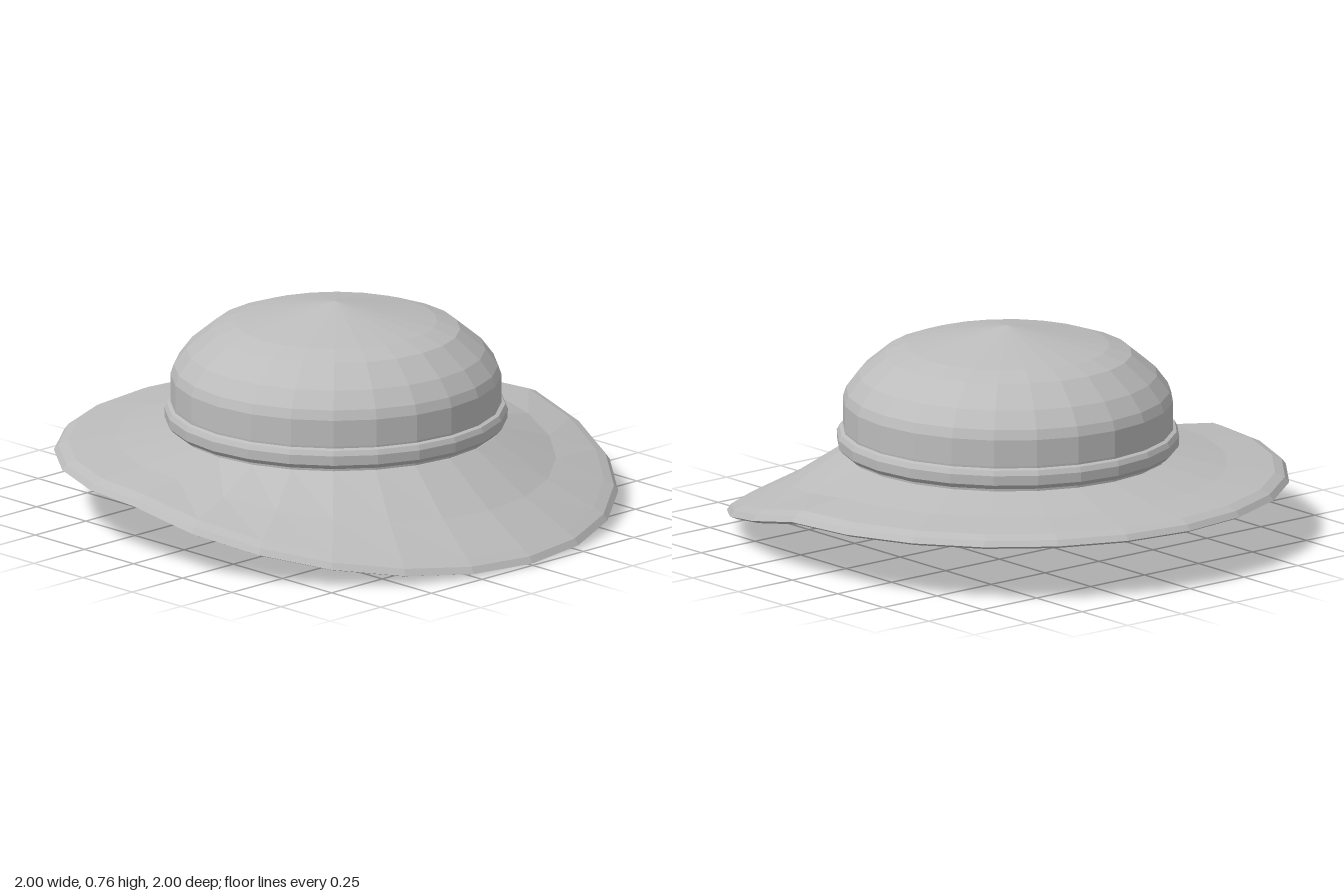
import * as THREE from 'three';

const SIDES = 24;
const feltGrey = new THREE.MeshStandardMaterial({ color: 0xbcbcbc, flatShading: true });

// Turned part from [radius, height] pairs, listed from the bottom up
function turned(name, profile) {
  const points = profile.map(([r, y]) => new THREE.Vector2(r, y));
  const mesh = new THREE.Mesh(new THREE.LatheGeometry(points, SIDES), feltGrey);
  mesh.name = name;
  return mesh;
}

// Brim: flat at the back, sloping down evenly towards the front
function makeBrim() {
  const brim = turned('brim', [
    [0, 0.2], [0.975, 0.2], [1, 0.212], [0.985, 0.232], [0.95, 0.247],
    [0.78, 0.265], [0.58, 0.305], [0.54, 0.32],
  ]);
  // Share of the droop at each ring of the profile
  const droop = [0, 0.205, 0.205, 0.205, 0.205, 0.14, 0, 0];
  const pos = brim.geometry.attributes.position;
  for (let i = 0; i < pos.count; i++) {
    const amount = droop[i % droop.length] * Math.max(0, pos.getZ(i));
    pos.setY(i, pos.getY(i) - amount);
  }
  brim.geometry.computeVertexNormals();
  return brim;
}

export function createModel() {
  const hat = new THREE.Group();
  hat.name = 'hat';

  // Domed crown with a shallow pointed top
  const crown = turned('crown', [
    [0.575, 0.29], [0.587, 0.4], [0.587, 0.495], [0.575, 0.53], [0.53, 0.59],
    [0.44, 0.665], [0.36, 0.693], [0, 0.765],
  ]);

  // Rounded band around the foot of the crown
  const band = turned('hatBand', [
    [0.56, 0.315], [0.59, 0.318], [0.607, 0.335], [0.609, 0.37],
    [0.6, 0.388], [0.58, 0.395],
  ]);

  hat.add(makeBrim(), crown, band);
  return hat;
}
